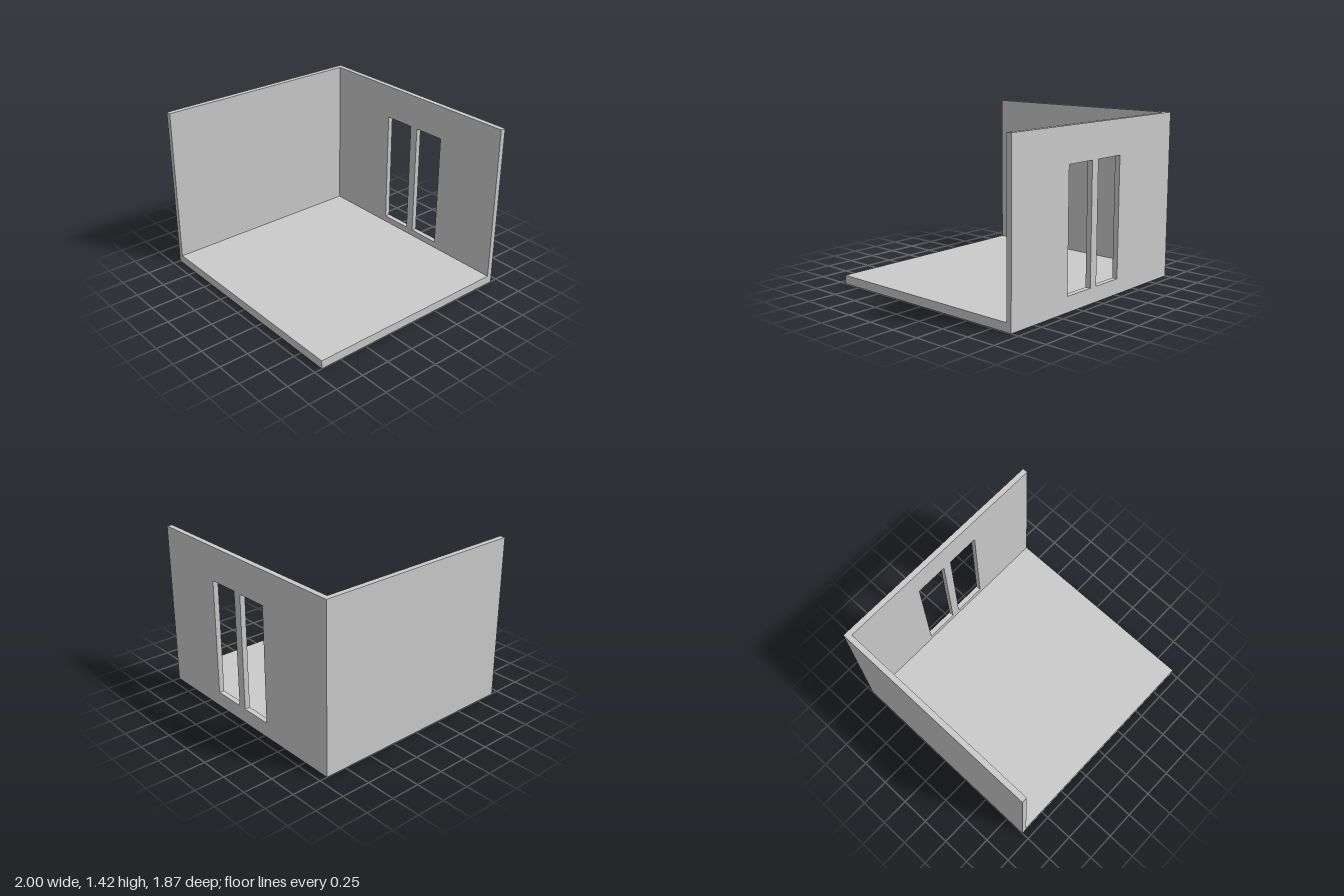
import * as THREE from 'three';

const W = 2, H = 1.42, D = 1.866; // overall size
const T = 0.046;                  // wall thickness
const FLOOR = 0.073;              // floor thickness

export function createModel() {
  const room = new THREE.Group();
  room.name = 'room';
  const material = new THREE.MeshStandardMaterial({ color: 0xcccccc, flatShading: true });

  const add = (name, geometry, x, y, z) => {
    const mesh = new THREE.Mesh(geometry, material);
    mesh.name = name;
    mesh.position.set(x, y, z);
    room.add(mesh);
  };

  const rectangle = (path, x0, y0, x1, y1) =>
    path.moveTo(x0, y0).lineTo(x1, y0).lineTo(x1, y1).lineTo(x0, y1).closePath();

  // Back wall with two tall window openings
  const wall = rectangle(new THREE.Shape(), -W / 2, 0, W / 2, H);
  for (const [x0, x1] of [[-0.278, 0.005], [0.08, 0.364]]) {
    wall.holes.push(rectangle(new THREE.Path(), x0, 0.128, x1, 1.132));
  }
  add('backWall', new THREE.ExtrudeGeometry(wall, { depth: T, bevelEnabled: false }), 0, 0, -D / 2);

  // Solid side wall, butted against the back wall
  add('sideWall', new THREE.BoxGeometry(T, H, D - T), -W / 2 + T / 2, H / 2, T / 2);

  // Floor slab filling the corner between the walls
  add('floor', new THREE.BoxGeometry(W - T, FLOOR, D - T), T / 2, FLOOR / 2, T / 2);

  return room;
}
